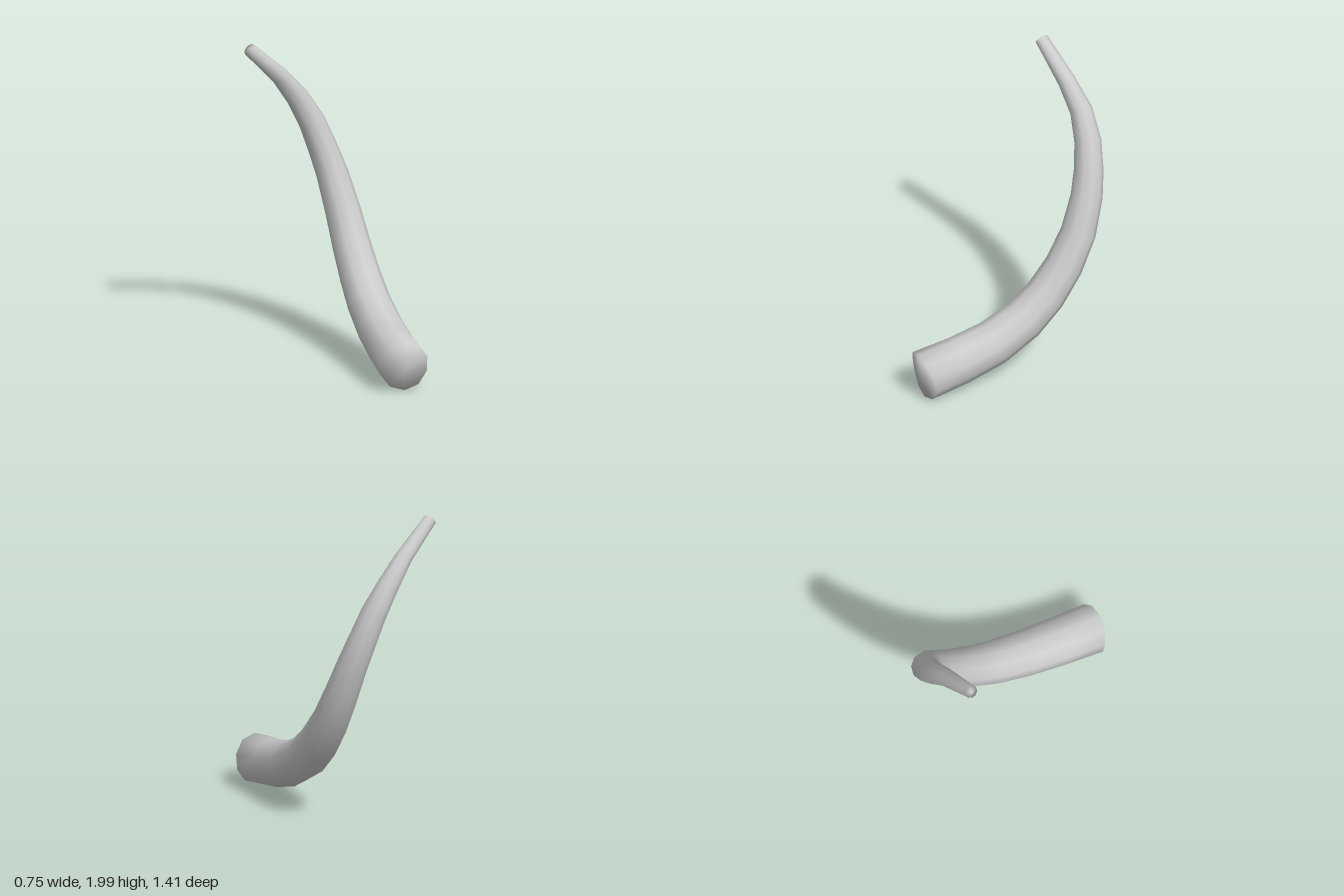
import * as THREE from 'three';

const SIDES = 10;

// Stations along the horn, base to tip: x, y, z of the centre, then radius
const STATIONS = [
  [0.175, 0.16, 0.675, 0.16],
  [0.2, 0.2, 0.41, 0.154],
  [0.225, 0.262, 0.17, 0.147],
  [0.242, 0.37, -0.05, 0.138],
  [0.25, 0.5, -0.205, 0.13],
  [0.25, 0.67, -0.345, 0.121],
  [0.24, 0.87, -0.46, 0.112],
  [0.205, 1.09, -0.545, 0.101],
  [0.16, 1.25, -0.59, 0.093],
  [0.1, 1.42, -0.622, 0.085],
  [0.005, 1.59, -0.635, 0.072],
  [-0.125, 1.75, -0.61, 0.057],
  [-0.35, 1.96, -0.567, 0.042],
];

// Skin round sections swept along the stations, closed by shallow caps
function sweep(stations) {
  const centres = stations.map(([x, y, z]) => new THREE.Vector3(x, y, z));
  const last = centres.length - 1;
  const tangents = centres.map((c, i) => centres[Math.min(i + 1, last)].clone()
    .sub(centres[Math.max(i - 1, 0)]).normalize());
  const positions = [];
  const index = [];
  const u = new THREE.Vector3(0, 1, 0);
  u.addScaledVector(tangents[0], -u.dot(tangents[0])).normalize();
  const turn = new THREE.Quaternion();

  centres.forEach((c, i) => {
    // carry the section's axis along the bend without twisting it
    if (i > 0) u.applyQuaternion(turn.setFromUnitVectors(tangents[i - 1], tangents[i]));
    const v = tangents[i].clone().cross(u);
    for (let j = 0; j < SIDES; j++) {
      const a = (j / SIDES) * Math.PI * 2;
      const r = stations[i][3];
      const p = c.clone().addScaledVector(u, r * Math.cos(a)).addScaledVector(v, r * Math.sin(a));
      // the root's rim sits back a little at its sides
      if (i === 0) p.z -= 0.03 * Math.sin(a) ** 2;
      positions.push(p.x, p.y, p.z);
      if (i < last) {
        const k = (j + 1) % SIDES;
        const [p0, p1] = [i * SIDES + j, i * SIDES + k];
        index.push(p0, p1, p0 + SIDES, p1, p1 + SIDES, p0 + SIDES);
      }
    }
  });

  // Caps share their rim with the skin, so the shading rolls over the ends
  const root = centres[0].clone().addScaledVector(tangents[0], -0.02);
  const tip = centres[last].clone().addScaledVector(tangents[last], 0.006);
  const hub = centres.length * SIDES;
  positions.push(...root.toArray(), ...tip.toArray());
  for (let j = 0; j < SIDES; j++) {
    const k = (j + 1) % SIDES;
    index.push(k, j, hub, last * SIDES + j, last * SIDES + k, hub + 1);
  }

  const geometry = new THREE.BufferGeometry();
  geometry.setAttribute('position', new THREE.Float32BufferAttribute(positions, 3));
  geometry.setIndex(index);
  geometry.computeVertexNormals();
  return geometry;
}

export function createModel() {
  const group = new THREE.Group();
  group.name = 'curvedHorn';
  const horn = new THREE.Mesh(sweep(STATIONS), new THREE.MeshStandardMaterial({ color: 0xcccccc }));
  horn.name = 'horn';
  group.add(horn);
  return group;
}
